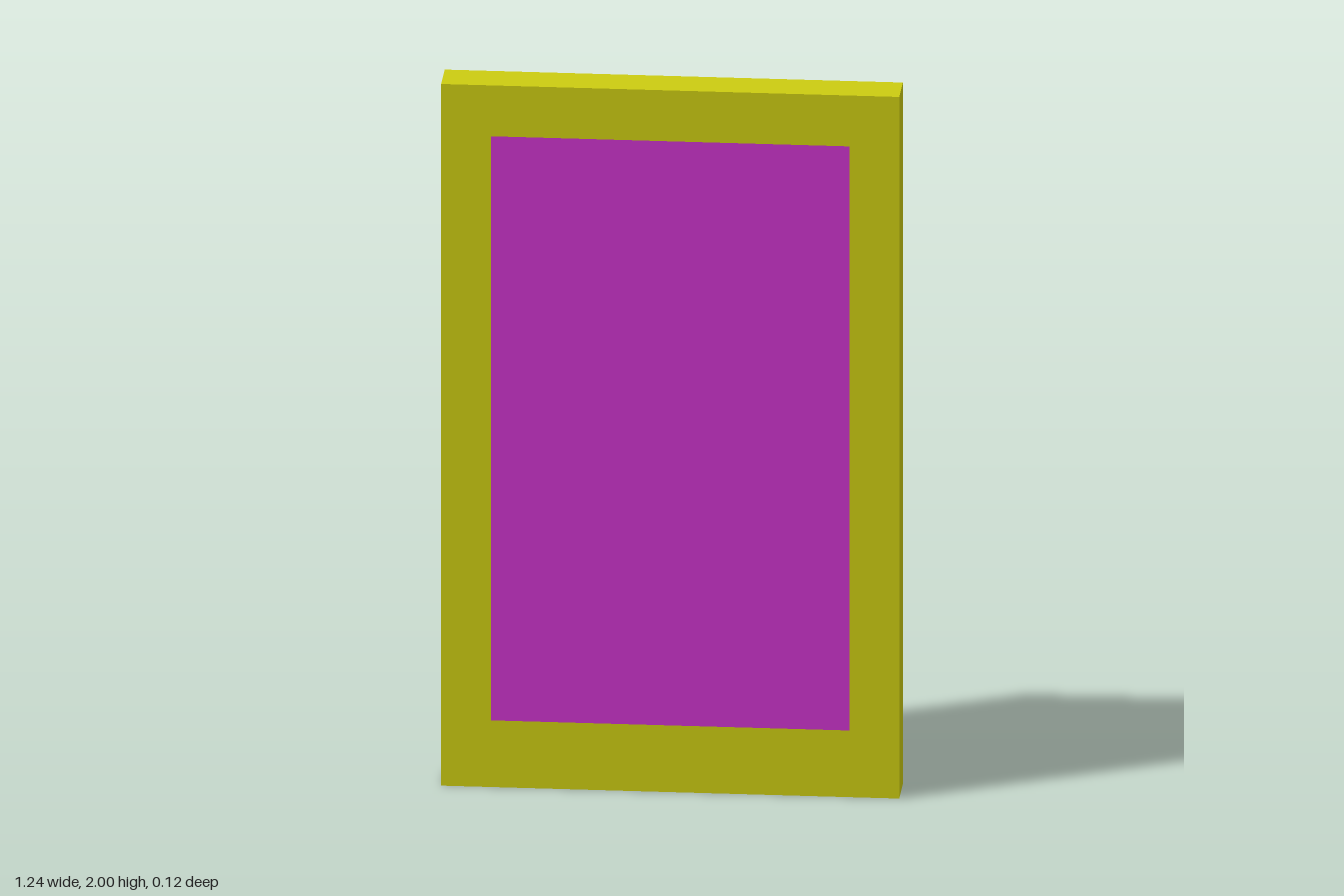
import * as THREE from 'three';

const W = 1.235, H = 2, D = 0.116;
const OPEN = { x: 0.483, bottom: 0.19, top: 1.855 };

// Rectangular border with the opening cut out
function borderShape() {
  const shape = new THREE.Shape();
  shape.moveTo(-W / 2, 0).lineTo(W / 2, 0).lineTo(W / 2, H).lineTo(-W / 2, H).closePath();
  const hole = new THREE.Path();
  hole.moveTo(-OPEN.x, OPEN.bottom).lineTo(-OPEN.x, OPEN.top)
    .lineTo(OPEN.x, OPEN.top).lineTo(OPEN.x, OPEN.bottom).closePath();
  shape.holes.push(hole);
  return shape;
}

export function createModel() {
  const group = new THREE.Group();
  const add = (name, geometry, color) => {
    const mesh = new THREE.Mesh(geometry, new THREE.MeshStandardMaterial({ color }));
    mesh.name = name;
    group.add(mesh);
    return mesh;
  };

  // Frame
  const frame = new THREE.ExtrudeGeometry(borderShape(), { depth: D, bevelEnabled: false });
  frame.translate(0, 0, -D / 2);
  add('frame', frame, 0xcccc11);

  // Thin facing on the back of the frame
  const backing = new THREE.ShapeGeometry(borderShape());
  backing.rotateY(Math.PI);
  add('backFacing', backing, 0x5cc6c8).position.z = -D / 2 - 0.001;

  // Pane: flush at the front, slightly recessed at the back
  const recess = 0.006;
  const pane = new THREE.BoxGeometry(2 * OPEN.x, OPEN.top - OPEN.bottom, D - recess);
  add('pane', pane, 0xcc33cc).position.set(0, (OPEN.top + OPEN.bottom) / 2, recess / 2);

  return group;
}
